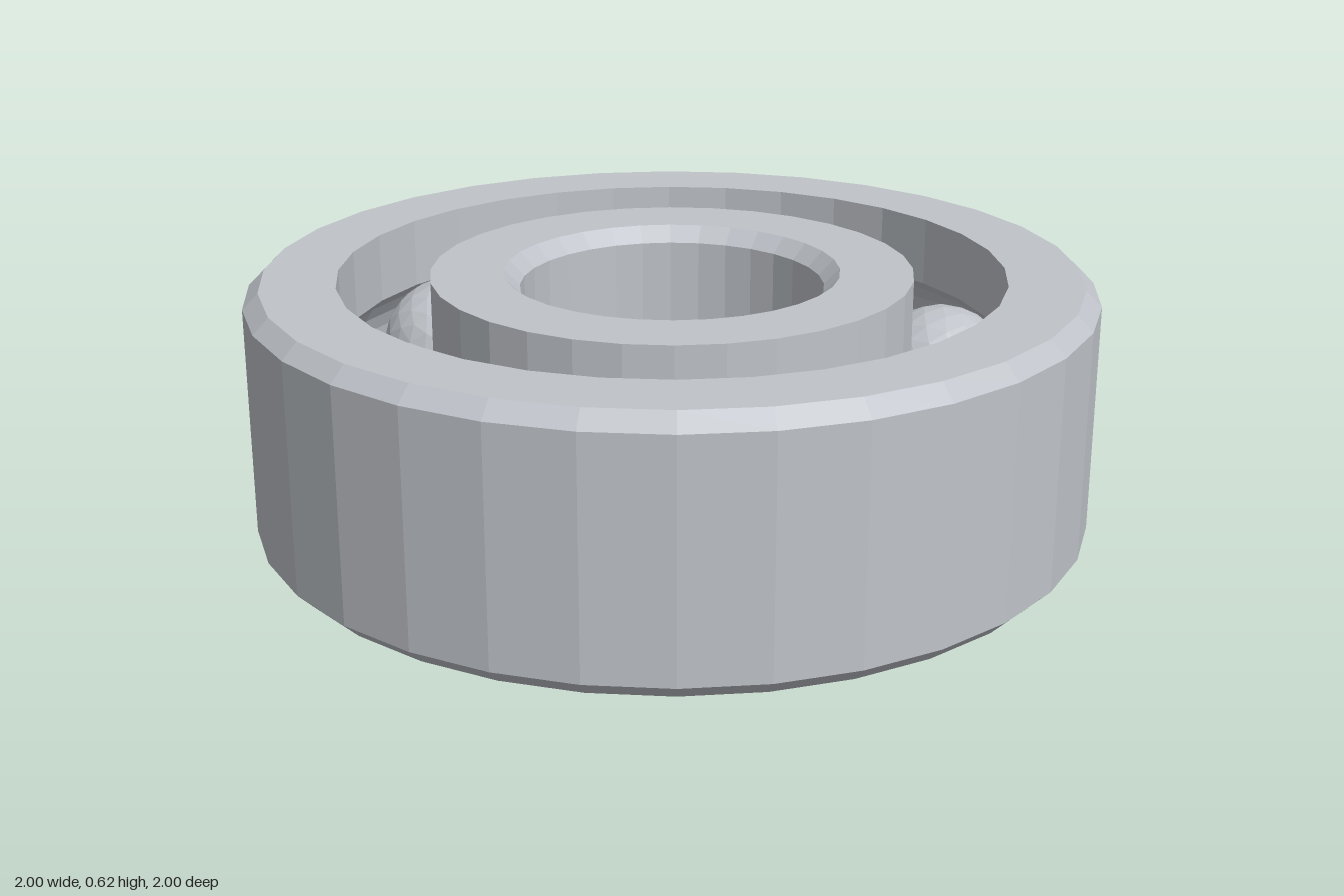
import * as THREE from 'three';

const HEIGHT = 0.62, MID = HEIGHT / 2, CHAMFER = 0.037;
const SEGMENTS = 32, BALLS = 8, BALL_RADIUS = 0.172, PITCH = 0.678, GROOVE = 0.178;

// Separate faces so that every facet is flat
function faceted(geometry) {
  const flat = geometry.index ? geometry.toNonIndexed() : geometry;
  flat.computeVertexNormals();
  return flat;
}

// Points of the ball groove cut into a wall of the given radius, from bottom to top
function groove(wallRadius, steps = 8) {
  const dx = wallRadius - PITCH;
  const half = Math.acos(Math.abs(dx) / GROOVE);
  const points = [];
  for (let i = 0; i <= steps; i++) {
    const a = -half + (2 * half * i) / steps;
    points.push([PITCH + Math.sign(dx) * GROOVE * Math.cos(a), MID + GROOVE * Math.sin(a)]);
  }
  return points;
}

function ring(name, profile, material) {
  const points = [...profile, profile[0]].map(([r, y]) => new THREE.Vector2(r, y));
  const mesh = new THREE.Mesh(faceted(new THREE.LatheGeometry(points, SEGMENTS)), material);
  mesh.name = name;
  return mesh;
}

export function createModel() {
  const group = new THREE.Group();
  group.name = 'ballBearing';
  const steel = new THREE.MeshStandardMaterial({ color: 0xc0c4ca });
  steel.name = 'steel';

  // Outer ring: chamfered outside, grooved inside
  const outer = 1, outerWall = 0.787;
  group.add(ring('outerRing', [
    [outer - CHAMFER, 0], [outer, CHAMFER],
    [outer, HEIGHT - CHAMFER], [outer - CHAMFER, HEIGHT],
    [outerWall, HEIGHT], ...groove(outerWall).reverse(), [outerWall, 0],
  ], steel));

  // Inner ring: grooved outside, chamfered bore
  const bore = 0.36, innerWall = 0.57;
  group.add(ring('innerRing', [
    [innerWall, 0], ...groove(innerWall), [innerWall, HEIGHT],
    [bore + CHAMFER, HEIGHT], [bore, HEIGHT - CHAMFER],
    [bore, CHAMFER], [bore + CHAMFER, 0],
  ], steel));

  // Balls spaced evenly in the groove
  const ballGeometry = faceted(new THREE.IcosahedronGeometry(BALL_RADIUS, 3));
  for (let i = 0; i < BALLS; i++) {
    const a = (i / BALLS) * Math.PI * 2;
    const ball = new THREE.Mesh(ballGeometry, steel);
    ball.name = `ball${i + 1}`;
    ball.position.set(Math.sin(a) * PITCH, MID, Math.cos(a) * PITCH);
    group.add(ball);
  }
  return group;
}
